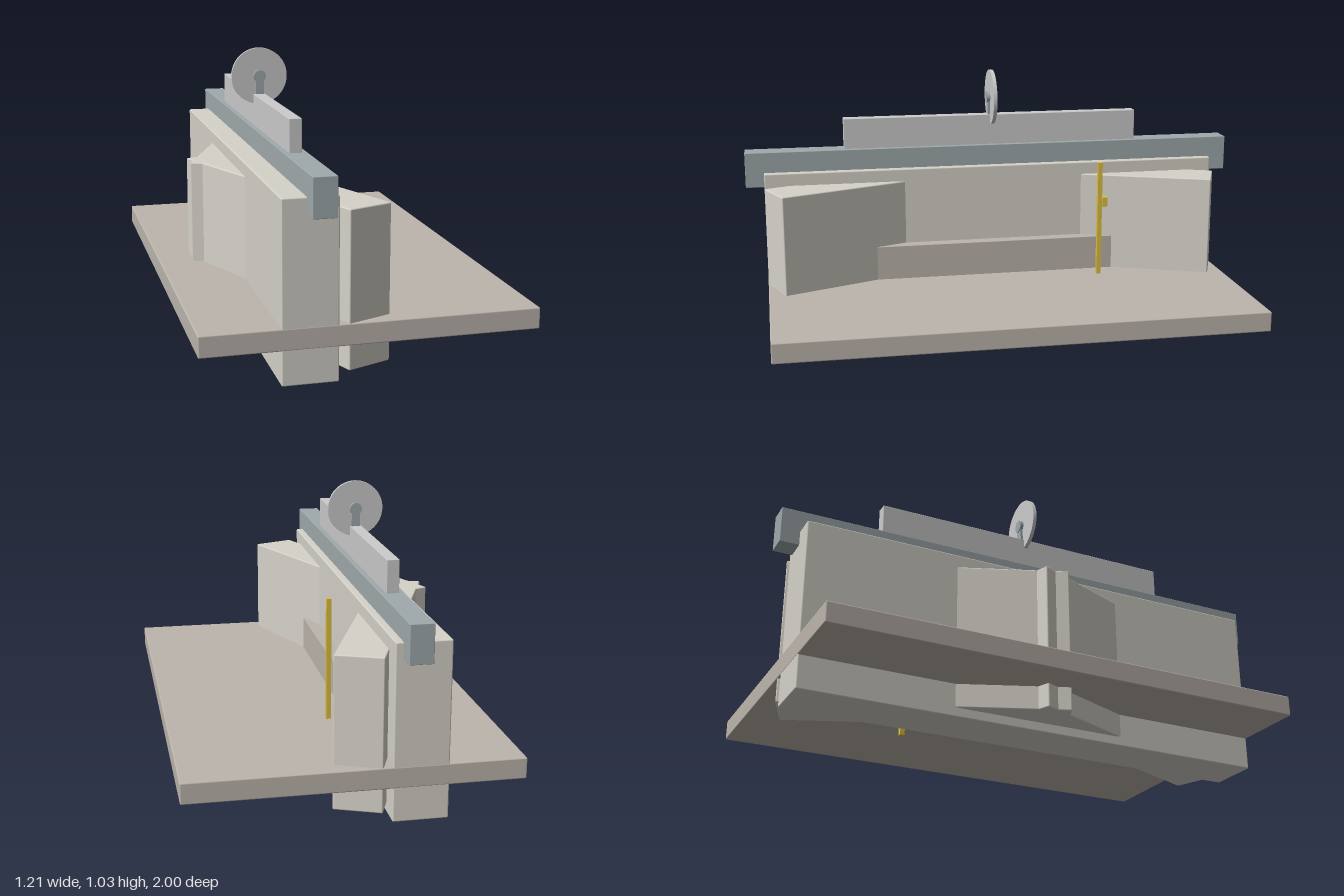
import * as THREE from 'three';
import { RoundedBoxGeometry } from 'three/addons/geometries/RoundedBoxGeometry.js';

const material = (color) => new THREE.MeshStandardMaterial({ color });

export function createModel() {
  const model = new THREE.Group();
  const stone = material(0xd5d2c9);
  const slab = material(0xbcb5ad);
  const steel = material(0xa0aaac);
  const grey = material(0xcccccc);
  const gold = material(0xe0c040);

  const add = (name, geometry, mat, x, y, z) => {
    const mesh = new THREE.Mesh(geometry, mat);
    mesh.name = name;
    mesh.position.set(x, y, z);
    model.add(mesh);
    return mesh;
  };
  // Box from its size and centre, with slightly eased edges
  const block = (name, mat, [w, h, d], [x, y, z], r = 0.005) =>
    add(name, new RoundedBoxGeometry(w, h, d, 2, r), mat, x, y, z);

  // Floor plate and the long wall passing through it
  block('floorPlate', slab, [1.21, 0.078, 1.856], [0, 0.164, 0]);
  block('wall', stone, [0.2, 0.648, 1.854], [-0.224, 0.324, 0]);
  block('ledge', slab, [0.15, 0.175, 1.2], [-0.15, 0.2525, 0], 0.002);

  // Diagonal wing walls, mirrored front to back and meeting behind the wall
  const angle = Math.atan2(0.39, 0.975);
  for (const side of [-1, 1]) {
    const wing = block(side < 0 ? 'rearWingWall' : 'frontWingWall', stone,
      [0.176, 0.563, 1.05], [-0.2025, 0.3165, side * 0.4075]);
    wing.rotation.y = side * angle;
  }

  // Rail on top of the wall and the bar it carries
  block('rail', steel, [0.085, 0.14, 2], [-0.194, 0.66, 0], 0.002);
  block('topBar', grey, [0.046, 0.125, 1.21], [-0.195, 0.7895, 0], 0.002);

  // Wheel on a short post
  const hubX = -0.193, hubY = 0.922;
  add('wheel', new THREE.CylinderGeometry(0.11, 0.11, 0.014, 48), grey, hubX, hubY, 0).rotation.x = Math.PI / 2;
  add('hub', new THREE.CylinderGeometry(0.024, 0.024, 0.04, 24), steel, hubX, hubY, 0).rotation.x = Math.PI / 2;
  add('wheelPost', new THREE.BoxGeometry(0.033, 0.08, 0.032), steel, hubX, 0.882, 0);

  // Measuring rod and small marker
  add('rod', new THREE.BoxGeometry(0.018, 0.645, 0.018), gold, -0.002, 0.3475, -0.415);
  add('marker', new THREE.BoxGeometry(0.024, 0.04, 0.02), gold, -0.075, 0.488, -0.456);

  return model;
}
